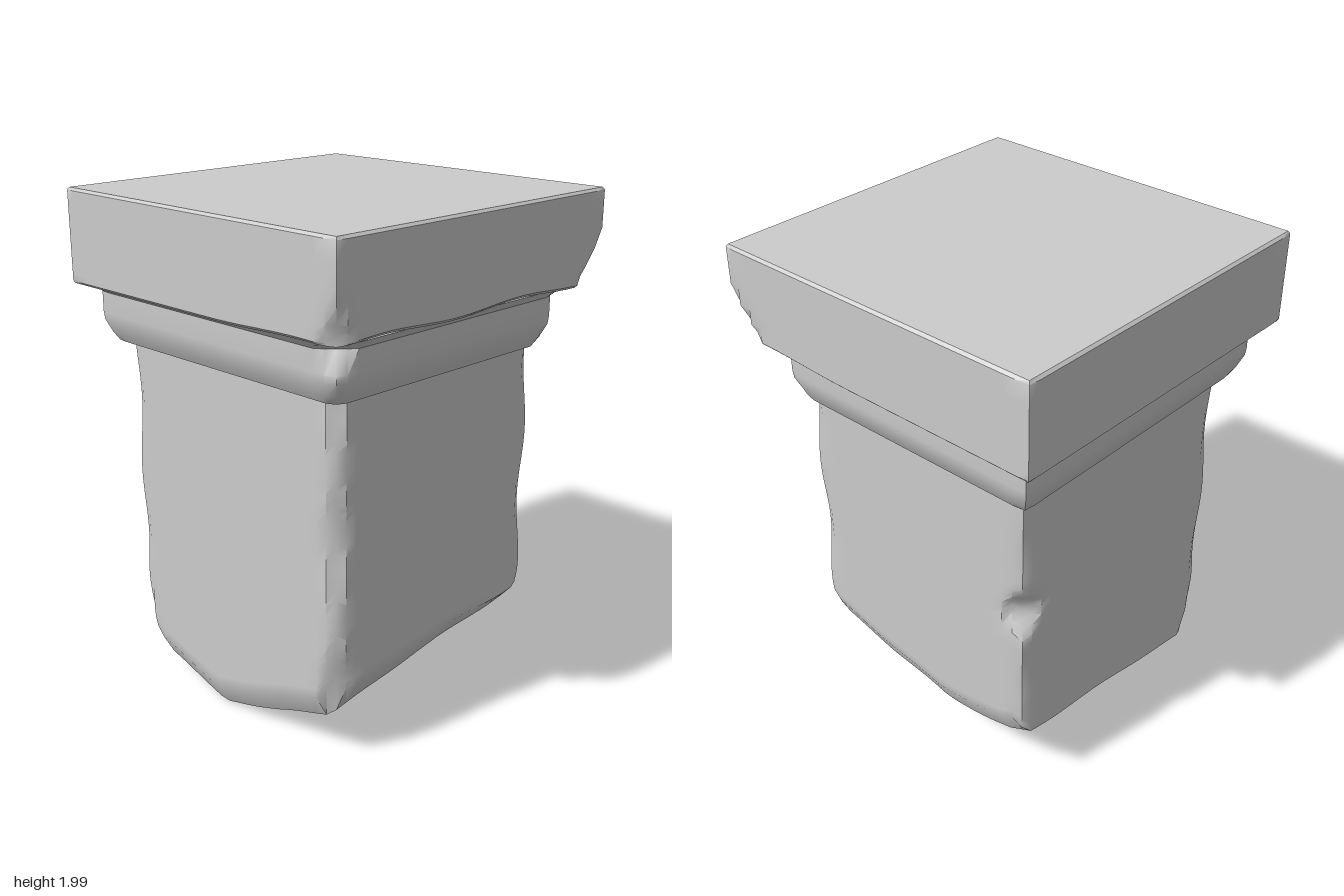
import * as THREE from 'three';
import { mergeVertices, toCreasedNormals } from 'three/addons/utils/BufferGeometryUtils.js';

const { lerp, clamp, smoothstep } = THREE.MathUtils;
const stone = new THREE.MeshStandardMaterial({ color: 0xcccccc });

// Piecewise linear curve through [position, value] pairs
function curve(points, p) {
  for (let i = 1; i < points.length; i++) {
    const [a, va] = points[i - 1], [b, vb] = points[i];
    if (p <= b) return lerp(va, vb, clamp((p - a) / (b - a), 0, 1));
  }
  return points[points.length - 1][1];
}

// Smooth bump of height 1 around a centre
const bump = (p, centre, width) => 1 - smoothstep(Math.abs(p - centre), 0, width);

// Cut the vertical corner of a square of half width h by c
function cutCorner(v, h, c) {
  const excess = Math.abs(v.x) + Math.abs(v.z) - (2 * h - c);
  if (excess > 0) {
    v.x -= Math.sign(v.x) * excess / 2;
    v.z -= Math.sign(v.z) * excess / 2;
  }
}

// Square block whose vertices are moved by a rule
function block(name, half, nSide, nHigh, rule, crease) {
  let geo = new THREE.BoxGeometry(2 * half, 1, 2 * half, nSide, nHigh, nSide);
  geo.deleteAttribute('normal');
  geo.deleteAttribute('uv');
  geo = mergeVertices(geo);
  const pos = geo.attributes.position, v = new THREE.Vector3();
  for (let i = 0; i < pos.count; i++) {
    v.fromBufferAttribute(pos, i);
    rule(v, v.y + 0.5);
    pos.setXYZ(i, v.x, v.y, v.z);
  }
  const mesh = new THREE.Mesh(toCreasedNormals(geo, crease), stone);
  mesh.name = name;
  return mesh;
}

// Broken underside: a ridge that rises to the back, with worn rims
const acrossBreak = [[-0.55, 0.16], [-0.45, 0.09], [-0.12, 0], [0.2, 0.09], [0.45, 0.18], [0.5, 0.22], [0.55, 0.31]];
const alongBreak = [[-0.55, 0.32], [-0.5, 0.22], [-0.27, 0.17], [0, 0.105], [0.45, 0.01], [0.5, 0], [0.55, 0.09]];
function breakHeight(x, z) {
  const fade = smoothstep(z, -0.6, 0.4);
  const rough = 0.012 * Math.sin(9 * x + 4 * z) * Math.sin(7 * z - 3 * x + 1);
  let y = curve(acrossBreak, x) * lerp(0.6, 1, fade) + curve(alongBreak, z);
  // the rims of two adjoining sides do not add up in full at a corner
  if (z < -0.5 && Math.abs(x) > 0.5) y -= 0.07;
  if (z > 0.5 && Math.abs(x) > 0.5) y -= 0.06;
  return Math.max(0, y + rough * smoothstep(Math.abs(x + 0.12) + Math.abs(z - 0.5), 0, 0.4));
}

function shaftRule(v, t) {
  const { x, z } = v;
  v.y = lerp(breakHeight(x, z), 1.43, t);
  // uneven wear on the corners, with a chip in the back right one
  const wave = 0.5 + 0.5 * Math.sin(v.y * 11 + x * 3 + z * 5);
  let c = 0.012 + 0.02 * wave;
  if (x > 0) c = z < 0 ? 0.06 + 0.025 * wave : 0.04 + 0.025 * wave;
  else if (z < 0) c += 0.09 * bump(v.y, 0.9, 0.14);
  c += 0.05 * (1 - smoothstep(v.y, 0.15, 0.5));
  cutCorner(v, 0.55, c);
}

// Moulding profile: height, half width
const mouldingProfile = [[1.405, 0.545], [1.42, 0.59], [1.45, 0.607], [1.5, 0.627], [1.53, 0.63], [1.61, 0.63], [1.625, 0.645], [1.65, 0.68]];
function mouldingRule(v, t) {
  const steps = mouldingProfile.length - 1;
  const [y, half] = mouldingProfile[Math.round(t * steps)];
  v.set(v.x * half, y, v.z * half);
  let c = 0.01;
  if (v.x > 0) c = v.z < 0 ? 0.13 : 0.03 + 0.07 * bump(y, 1.6, 0.08);
  cutCorner(v, half, c);
}

function slabRule(v, t) {
  const half = 0.705;
  const ySteps = [1.64, 1.65, 1.68, 1.72, 1.78, 1.85, 1.92, 1.99, 2];
  v.y = ySteps[Math.round(t * 8)];
  // fine rounded rim at top and bottom
  if (t === 0 || t === 1) {
    v.x = clamp(v.x, -half + 0.01, half - 0.01);
    v.z = clamp(v.z, -half + 0.01, half - 0.01);
  }
  const low = 1 - smoothstep(v.y, 1.64, 1.85);
  let c = 0.008;
  if (v.x > 0) c += (v.z < 0 ? 0.13 : 0.07) * low;
  cutCorner(v, half, c);
  // battered lower rim towards the left side
  if (v.y < 1.7) {
    const rim = smoothstep(Math.max(Math.abs(v.x), Math.abs(v.z)), 0.62, 0.7);
    const side = smoothstep(v.x, 0.1, 0.7);
    v.y += rim * side * (0.012 + 0.008 * Math.sin(v.z * 9 + v.x * 5));
  }
}

export function createModel() {
  const group = new THREE.Group();
  group.name = 'brokenPillarCapital';
  group.add(
    block('shaft', 0.55, 22, 32, shaftRule, 0.65),
    block('moulding', 1, 24, mouldingProfile.length - 1, mouldingRule, 0.7),
    block('topSlab', 0.705, 28, 8, slabRule, 0.7)
  );
  return group;
}
